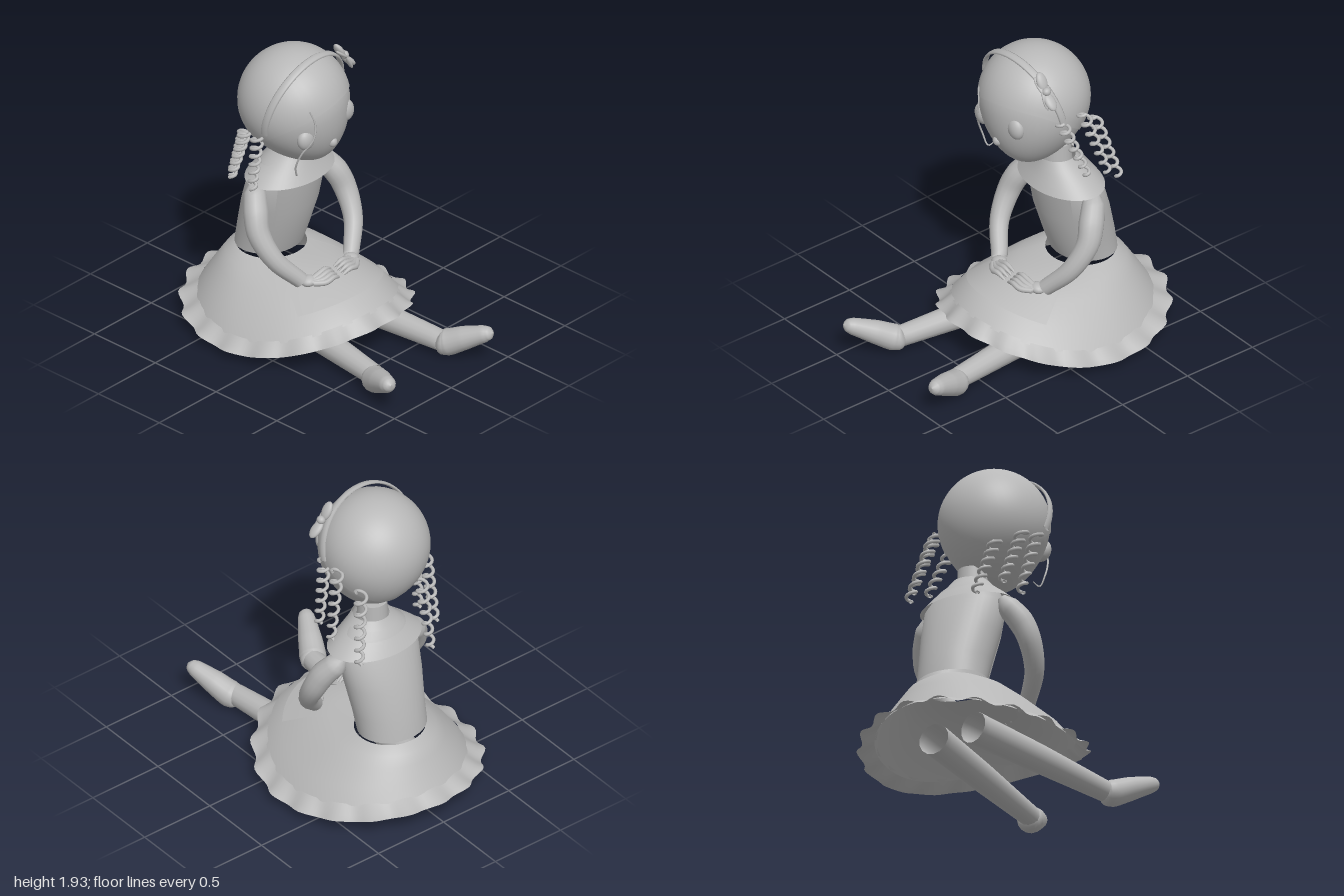
import * as THREE from 'three';
import { mergeVertices } from 'three/addons/utils/BufferGeometryUtils.js';

const clay = new THREE.MeshStandardMaterial({ color: 0xb8b8b8, side: THREE.DoubleSide });
clay.name = 'clay grey';

const V = (p) => new THREE.Vector3(p[0], p[1], p[2]);

function smooth(geo) {
  geo.deleteAttribute('uv');
  geo.deleteAttribute('normal');
  const g = mergeVertices(geo, 1e-5);
  g.computeVertexNormals();
  return g;
}

function add(parent, name, geo) {
  const mesh = new THREE.Mesh(geo, clay);
  mesh.name = name;
  parent.add(mesh);
  return mesh;
}

function blob(parent, name, pos, radii, rotZ = 0) {
  const m = add(parent, name, new THREE.SphereGeometry(1, 20, 14));
  m.position.set(...pos);
  m.scale.set(...radii);
  m.rotation.z = rotZ;
  return m;
}

// Tube through points [x, y, z, radius]
function limb(pts, seg = 24, sides = 14) {
  const curve = new THREE.CatmullRomCurve3(pts.map(V));
  const geo = new THREE.TubeGeometry(curve, seg, 1, sides);
  const pos = geo.attributes.position;
  // arc-length position of each control point
  const lengths = curve.getLengths(20 * (pts.length - 1));
  const total = lengths[lengths.length - 1];
  const at = pts.map((_, i) => lengths[i * 20] / total);
  const v = new THREE.Vector3();
  for (let i = 0; i <= seg; i++) {
    const u = i / seg, c = curve.getPointAt(u);
    let k = 0;
    while (k < pts.length - 2 && u > at[k + 1]) k++;
    const r = THREE.MathUtils.lerp(pts[k][3], pts[k + 1][3], (u - at[k]) / (at[k + 1] - at[k]));
    for (let j = 0; j <= sides; j++) {
      const n = i * (sides + 1) + j;
      v.fromBufferAttribute(pos, n).sub(c).multiplyScalar(r).add(c);
      pos.setXYZ(n, v.x, v.y, v.z);
    }
  }
  return smooth(geo);
}

// Skin of elliptical rings; ring = [centreZ, radiusX, radiusZ, ySide, yFront, yBack, wave]
function loft(rings, { from = 0, to = Math.PI * 2, seg = 64, grow = 0, lift = 0 } = {}) {
  const pos = [], idx = [], w = seg + 1;
  rings.forEach(([cz, rx, rz, yS, yF = yS, yB = yS, wave = 0]) => {
    for (let j = 0; j <= seg; j++) {
      const a = from + (to - from) * j / seg, s = Math.sin(a);
      const ripple = wave * Math.sin(a * 19);
      const y = yS + ((s > 0 ? yF : yB) - yS) * s * s;
      pos.push((rx + grow + ripple) * Math.cos(a), y + lift + ripple * 0.6, cz + (rz + grow + ripple) * s);
    }
  });
  for (let i = 0; i < rings.length - 1; i++) for (let j = 0; j < seg; j++) {
    const a = i * w + j;
    idx.push(a, a + 1, a + w, a + 1, a + w + 1, a + w);
  }
  const geo = new THREE.BufferGeometry();
  geo.setAttribute('position', new THREE.Float32BufferAttribute(pos, 3));
  geo.setIndex(idx);
  return smooth(geo);
}

// Sphere drawn out to a narrow chin below its middle
function headShape(geo, size) {
  const p = geo.attributes.position;
  for (let i = 0; i < p.count; i++) {
    const k = Math.max(0, -p.getY(i));
    p.setXYZ(i, p.getX(i) * (1 - 0.27 * k * k) * size,
      p.getY(i) * (k > 0 ? 1.2 : 1) * size, (p.getZ(i) + 0.15 * k * k) * size);
  }
  return smooth(geo);
}

// Ringlet hanging from a to b
function ringlet(a, b) {
  const A = V(a), B = V(b), pts = [], n = 70, turns = 6.5;
  for (let i = 0; i <= n; i++) {
    const t = i / n, ang = t * turns * Math.PI * 2, r = 0.036 * (1 - 0.4 * t);
    const p = A.clone().lerp(B, t);
    pts.push(p.add(new THREE.Vector3(r * Math.cos(ang), 0, r * Math.sin(ang))));
  }
  return new THREE.TubeGeometry(new THREE.CatmullRomCurve3(pts), 150, 0.011, 7);
}

export function createModel() {
  const doll = new THREE.Group();
  doll.name = 'seatedDoll';

  // Head, hair cap and hairband share one tilt
  const head = new THREE.Group();
  head.name = 'head';
  head.position.set(-0.1, 1.6, -0.2);
  head.rotation.z = 0.2;
  doll.add(head);
  add(head, 'face', headShape(new THREE.SphereGeometry(1, 40, 30), 0.337));
  const cap = new THREE.SphereGeometry(1, 40, 24, 0, Math.PI * 2, 0, 1.83);
  cap.rotateX(-0.5);
  add(head, 'hairCap', headShape(cap, 0.342));
  const band = add(head, 'hairband', new THREE.TorusGeometry(0.345, 0.01, 8, 48, Math.PI + 0.25));
  band.geometry.rotateZ(-0.2).scale(1, 1, 2.6);
  band.rotation.x = 0.26;
  band.position.z = 0.07;

  // Bow on the hairband
  const bow = new THREE.Group();
  bow.name = 'bow';
  bow.position.set(0.18, 1.82, -0.06);
  bow.rotation.z = -0.9;
  doll.add(bow);
  for (const s of [-1, 1]) {
    blob(bow, 'bowLoop', [s * 0.065, 0.012, 0], [0.062, 0.022, 0.036], s * 0.15);
    blob(bow, 'bowTail', [s * 0.05, 0, 0.02], [0.06, 0.012, 0.02], -s * 0.2);
  }
  blob(bow, 'bowKnot', [0, 0.018, 0], [0.026, 0.026, 0.028]);

  // Face details
  blob(doll, 'rightEye', [-0.27, 1.485, 0.055], [0.062, 0.07, 0.045], 0.2);
  blob(doll, 'leftEye', [0.062, 1.555, 0.07], [0.062, 0.074, 0.045], 0.2);
  blob(doll, 'nose', [-0.08, 1.405, 0.095], [0.03, 0.034, 0.032]);

  // Hair
  add(doll, 'loosestrand', limb([[-0.27, 1.69, 0.09, 0.004], [-0.245, 1.6, 0.11, 0.006],
    [-0.26, 1.5, 0.11, 0.006], [-0.31, 1.4, 0.06, 0.006], [-0.32, 1.3, 0.02, 0.006],
    [-0.29, 1.22, 0, 0.005], [-0.265, 1.25, -0.03, 0.003]], 40, 6));
  const curls = [
    [[0.23, 1.6, -0.14], [0.36, 1.23, -0.25]], [[0.25, 1.62, -0.29], [0.38, 1.2, -0.39]],
    [[0.18, 1.51, -0.43], [0.29, 1.06, -0.55]], [[-0.42, 1.48, -0.2], [-0.36, 1.04, -0.3]],
    [[-0.4, 1.45, -0.32], [-0.35, 1.05, -0.48]], [[-0.28, 1.38, -0.43], [-0.23, 0.97, -0.59]],
  ];
  curls.forEach(([a, b]) => add(doll, 'ringlet', ringlet(a, b)));

  // Neck, bodice, bib and collar
  add(doll, 'neck', new THREE.CylinderGeometry(0.09, 0.1, 0.2, 24)).position.set(-0.01, 1.18, -0.3);
  const bodice = [[-0.3, 0.11, 0.11, 1.19], [-0.33, 0.2, 0.15, 1.12], [-0.36, 0.27, 0.19, 1.0],
    [-0.41, 0.255, 0.21, 0.8], [-0.465, 0.23, 0.205, 0.6], [-0.5, 0.225, 0.19, 0.47]];
  add(doll, 'bodice', loft(bodice, { seg: 40 }));
  add(doll, 'bib', loft(bodice.slice(2), { from: 0.72, to: Math.PI - 0.72, seg: 20, grow: 0.006 }));
  add(doll, 'collar', loft([[-0.3, 0.115, 0.115, 1.2], [-0.31, 0.16, 0.14, 1.15],
    [-0.325, 0.25, 0.185, 1.08], [-0.33, 0.32, 0.22, 1.02]], { seg: 48 }));

  // Skirt, ruffled hem and apron
  const skirt = [[-0.48, 0.22, 0.21, 0.45], [-0.42, 0.31, 0.33, 0.41, 0.45, 0.41],
    [-0.36, 0.39, 0.43, 0.345, 0.435, 0.35], [-0.29, 0.51, 0.55, 0.23, 0.38, 0.27],
    [-0.26, 0.59, 0.63, 0.12, 0.29, 0.19]];
  add(doll, 'skirt', loft(skirt));
  add(doll, 'ruffle', loft([[-0.26, 0.58, 0.62, 0.135, 0.3, 0.2, 0.003],
    [-0.265, 0.635, 0.68, 0.09, 0.255, 0.165, 0.01],
    [-0.27, 0.68, 0.715, 0.07, 0.23, 0.15, 0.016]], { seg: 152 }));
  add(doll, 'apron', loft(skirt.slice(0, 4), { from: 0.75, to: Math.PI - 0.75, seg: 24, grow: 0.004, lift: 0.006 }));

  // Arms with hands meeting in the lap
  for (const s of [-1, 1]) {
    const side = s > 0 ? 'left' : 'right';
    add(doll, side + 'Arm', limb([[s * 0.27, 1.01, -0.37, 0.03], [s * 0.295, 0.96, -0.34, 0.07],
      [s * 0.35, 0.87, -0.28, 0.078], [s * 0.38, 0.76, -0.23, 0.072], [s * 0.345, 0.6, -0.13, 0.06],
      [s * 0.22, 0.445, -0.03, 0.05]]));
    blob(doll, side + 'Palm', [s * 0.185, 0.44, 0], [0.05, 0.032, 0.045], s * -0.1);
    for (let i = 0; i < 4; i++) {
      const z = 0.02 + i * 0.024;
      add(doll, side + 'Finger', limb([[s * 0.19, 0.44, z * 0.5, 0.018], [s * 0.13, 0.465 - i * 0.008, z, 0.018],
        [s * 0.07, 0.485 - i * 0.01, z + 0.008, 0.016], [s * 0.015, 0.46 - i * 0.01, z, 0.008]], 12, 8));
    }
  }

  // Legs, open at the hip, and upturned shoes
  const feet = [['left', 0.14, 0.26, 0.385, 0.02], ['right', -0.15, -0.315, -0.48, 0]];
  for (const [side, hip, ankle, toe, dz] of feet) {
    add(doll, side + 'Leg', limb([[hip, 0.14, -0.49, 0.1], [(hip + ankle) / 2, 0.125, 0.08, 0.088],
      [ankle, 0.105, 0.66 + dz, 0.066]]));
    const x = (t) => ankle + (toe - ankle) * t;
    add(doll, side + 'Shoe', limb([[x(-0.08), 0.095, 0.63 + dz, 0.03], [x(0), 0.093, 0.655 + dz, 0.075],
      [x(0.15), 0.1, 0.69 + dz, 0.083], [x(0.5), 0.15, 0.79 + dz, 0.073], [x(0.9), 0.205, 0.91 + dz, 0.052],
      [x(1), 0.218, 0.945 + dz, 0.036], [x(1.03), 0.224, 0.96 + dz, 0.001]], 36, 16));
  }
  return doll;
}
